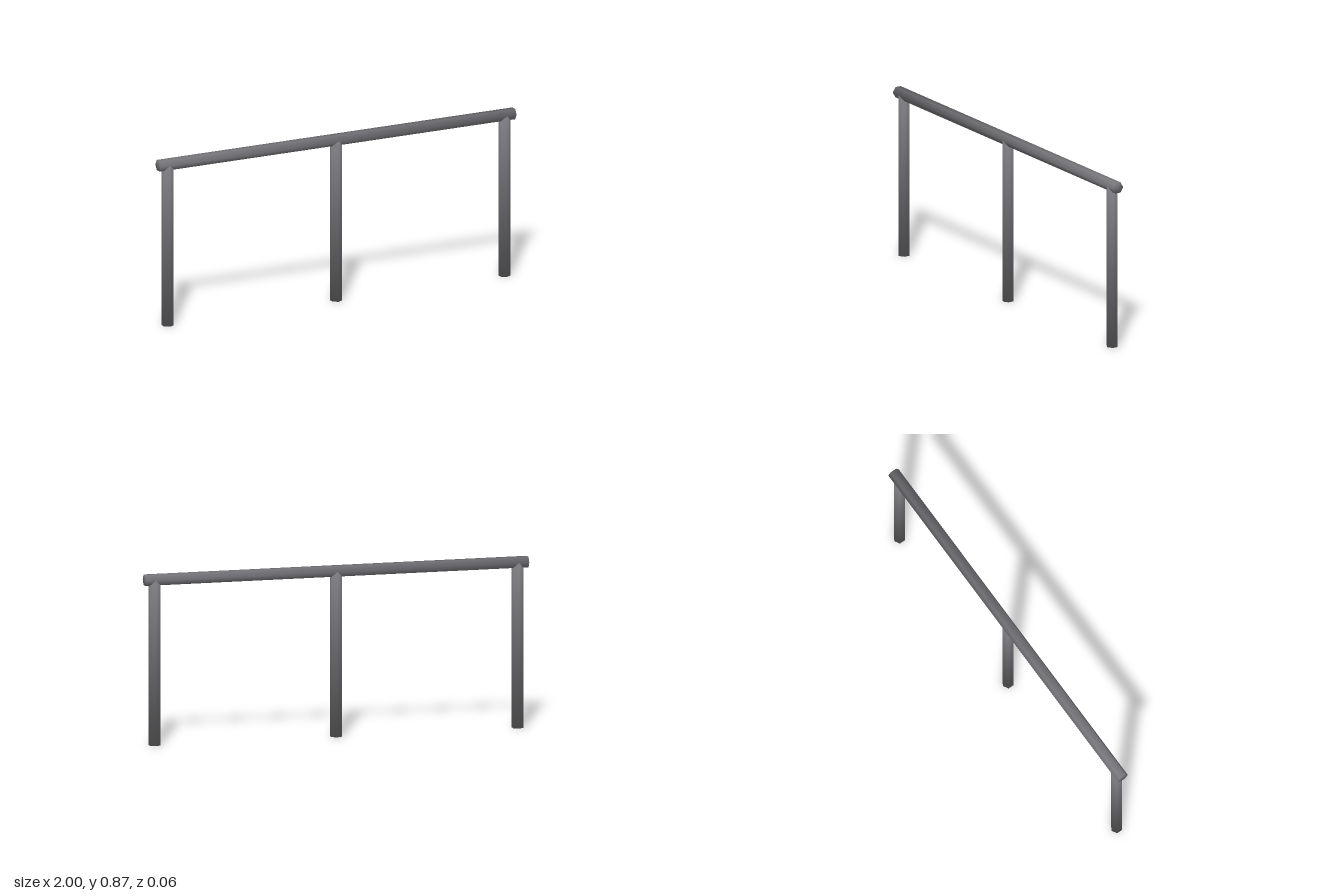
import * as THREE from 'three';

const RADIUS = 0.031;
const RAIL_Y = 0.844;

// Six-sided closed bar along y, with normals blended softly around its ends
function bar(length) {
  const geo = new THREE.CylinderGeometry(RADIUS, RADIUS, length, 6);
  const pos = geo.attributes.position;
  const n = new THREE.Vector3();
  for (let i = 0; i < pos.count; i++) {
    n.set(pos.getX(i) / RADIUS, Math.sign(pos.getY(i)) * 0.8, pos.getZ(i) / RADIUS).normalize();
    geo.attributes.normal.setXYZ(i, n.x, n.y, n.z);
  }
  return geo;
}

export function createModel() {
  const group = new THREE.Group();
  group.name = 'handrail';

  const steel = new THREE.MeshStandardMaterial({ color: 0x77777c });
  steel.name = 'grey steel';

  // Horizontal top rail
  const rail = new THREE.Mesh(bar(2), steel);
  rail.name = 'topRail';
  rail.rotation.z = -Math.PI / 2;
  rail.position.y = RAIL_Y;
  group.add(rail);

  // Three upright posts, ending at the middle of the rail
  const postGeometry = bar(RAIL_Y);
  [['rightPost', -0.947], ['middlePost', 0], ['leftPost', 0.947]].forEach(([name, x]) => {
    const post = new THREE.Mesh(postGeometry, steel);
    post.name = name;
    post.position.set(x, RAIL_Y / 2, 0);
    group.add(post);
  });

  return group;
}
